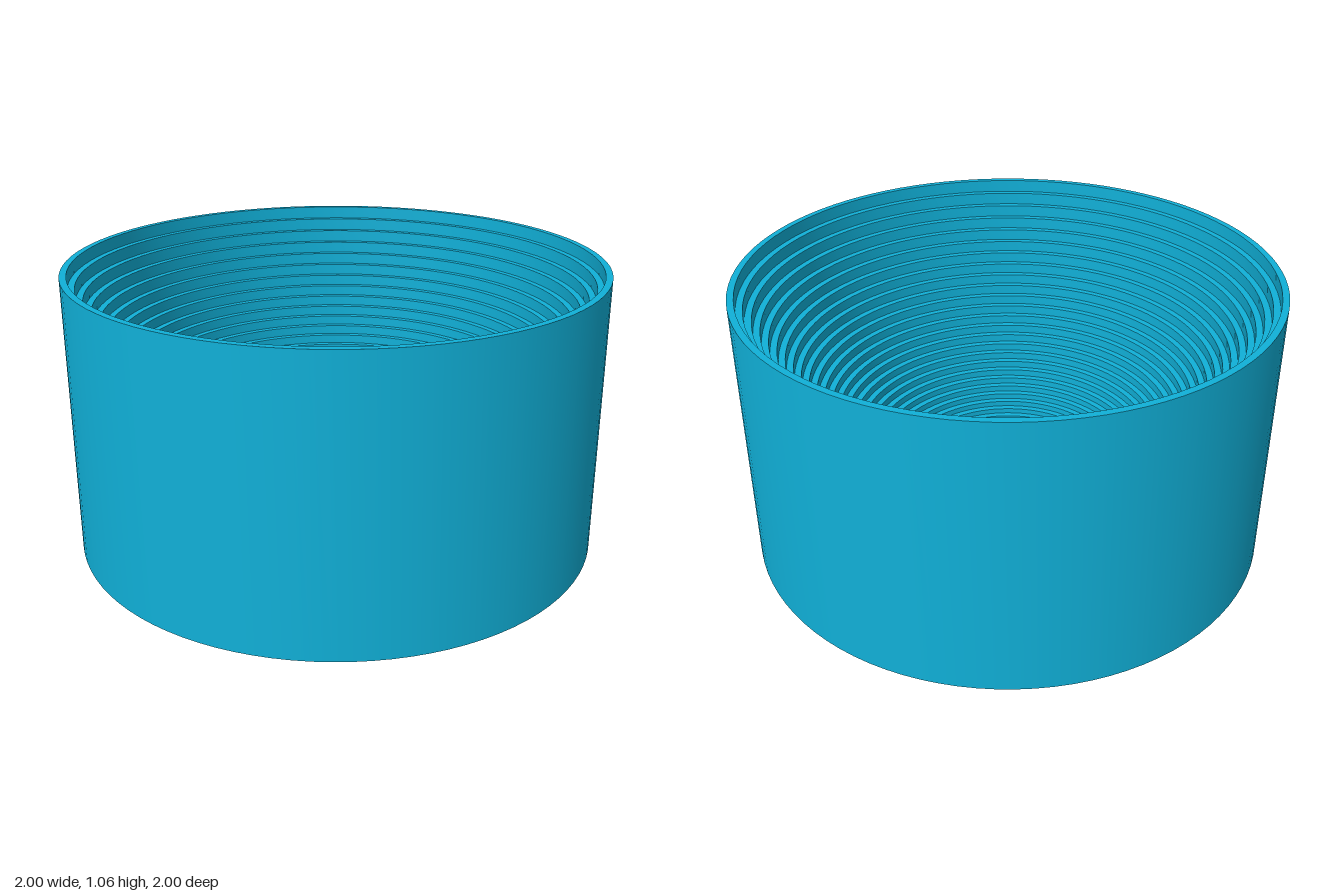
import * as THREE from 'three';
import { toCreasedNormals } from 'three/addons/utils/BufferGeometryUtils.js';

const HEIGHT = 1.06;
const STEP = 0.025;       // radial width of each terrace
const FLOOR_RADIUS = 0.2;
const HOLE_RADIUS = 0.025;
const BASE = 0.06;        // height of the bowl curve at the axis

// Parabolic bowl curve followed by the terraces
const bowlHeight = (r) => BASE + r * r;

export function createModel() {
  const group = new THREE.Group();
  const profile = [];
  const add = (r, y) => profile.push(new THREE.Vector2(r, y));

  // Stepped recess under the base, from the centre hole outwards
  for (let i = 1; i <= 4; i++) {
    const y = BASE - (i - 1) * 0.015;
    add(HOLE_RADIUS * i, y);
    add(HOLE_RADIUS * (i + 1), y);
  }
  add(HOLE_RADIUS * 5, 0);

  // Outer wall and rim
  add(1, 0);
  add(1, HEIGHT);

  // Terraces descending to the flat floor
  const count = Math.round((1 - FLOOR_RADIUS) / STEP);
  for (let i = 1; i <= count; i++) {
    const r = 1 - i * STEP;
    add(r, bowlHeight(r + STEP));
    add(r, bowlHeight(r));
  }

  // Floor and centre hole, closing the section
  add(HOLE_RADIUS, bowlHeight(FLOOR_RADIUS));
  add(HOLE_RADIUS, BASE);

  const geometry = toCreasedNormals(new THREE.LatheGeometry(profile, 96), Math.PI / 6);
  const bowl = new THREE.Mesh(geometry, new THREE.MeshStandardMaterial({ color: 0x10b0d8 }));
  bowl.name = 'terracedBowl';
  group.add(bowl);
  return group;
}
